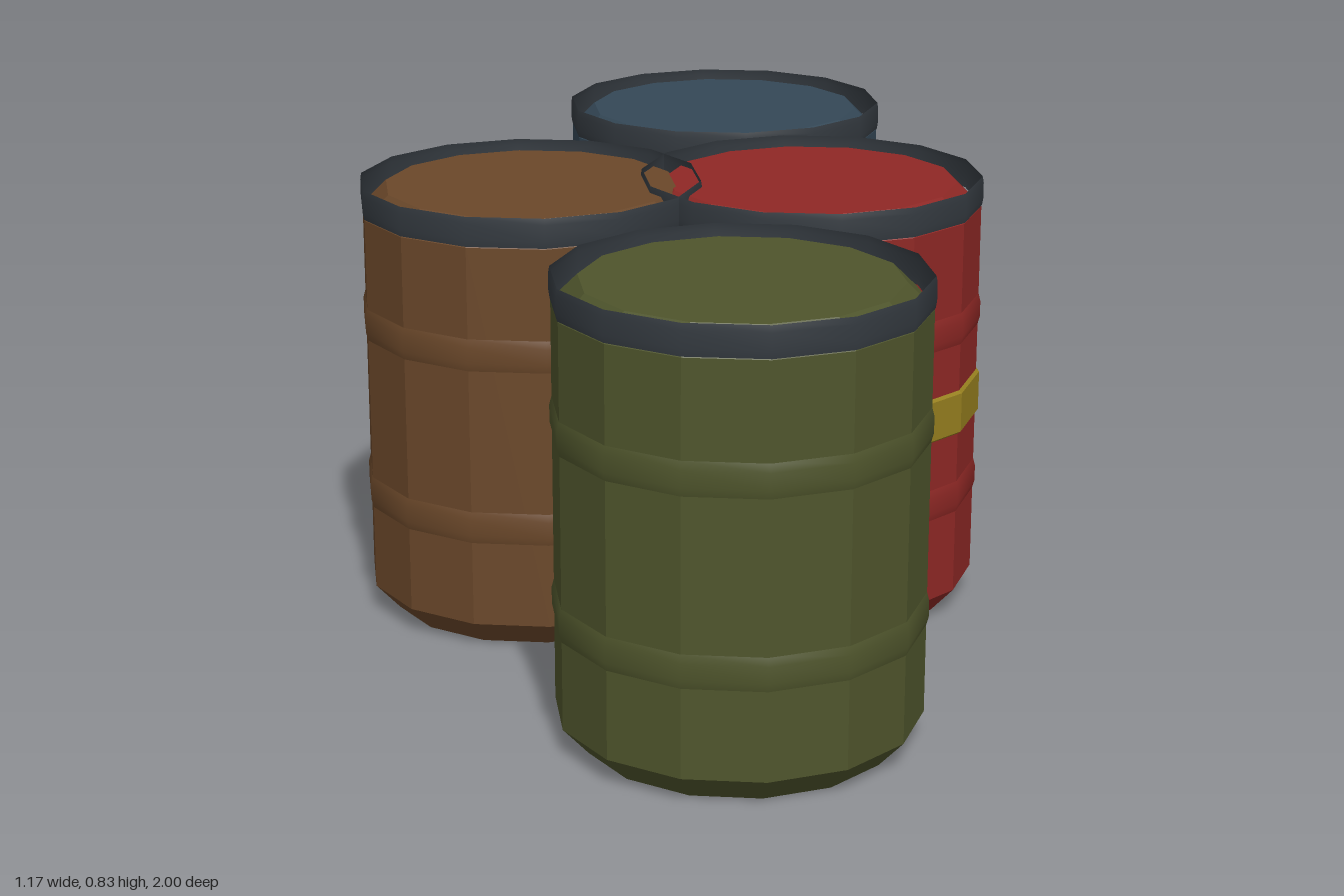
import * as THREE from 'three';

const SIDES = 14;
const R = 0.32;

// Ring of stacked sections [radius, y], 14 sides, corners pointing along x
function lathe(name, profile, color, flat, double) {
  const geo = new THREE.LatheGeometry(profile.map(([r, y]) => new THREE.Vector2(r, y)), SIDES, Math.PI / 2);
  const mat = new THREE.MeshStandardMaterial({ color, flatShading: flat });
  if (double) mat.side = THREE.DoubleSide;
  const mesh = new THREE.Mesh(geo, mat);
  mesh.name = name;
  return mesh;
}

// Slightly raised rounded hoop between two heights
function hoop(name, y0, y1, color, r = R) {
  const h = y1 - y0;
  return lathe(name, [[r, y0], [r + 0.004, y0 + h * 0.25], [r + 0.004, y0 + h * 0.75], [r, y1]], color, false, true);
}

function barrel(name, x, z, color) {
  const g = new THREE.Group();
  g.name = name;
  // body with chamfered top and bottom
  g.add(lathe('body', [[0, 0], [0.274, 0], [R, 0.05], [R, 0.77], [0.274, 0.815], [0, 0.815]], color, true));
  g.add(hoop('lowerHoop', 0.21, 0.27, color));
  g.add(hoop('upperHoop', 0.54, 0.6, color));
  // open dark rim standing around the lid
  g.add(lathe('rim', [[R + 0.001, 0.772], [R + 0.003, 0.785], [R + 0.003, 0.815], [R + 0.001, 0.827]], 0x343a40, false, true));
  g.position.set(x, 0, z);
  return g;
}

export function createModel() {
  const root = new THREE.Group();
  root.name = 'barrels';

  const green = barrel('greenBarrel', 0.176, 0.68, 0x4f552c);
  const brown = barrel('brownBarrel', -0.268, 0.055, 0x6b482a);
  const red = barrel('redBarrel', 0.254, -0.03, 0x8f2825);
  const blue = barrel('blueBarrel', 0.037, -0.67, 0x344857);

  // painted stripe around the red barrel
  const r = R + 0.006;
  red.add(lathe('yellowStripe', [[R, 0.365], [r, 0.37], [r, 0.445], [R, 0.45]], 0x97801f, true, true));

  // loose, slightly shifted hoop at the back of the blue barrel
  const loose = hoop('looseHoop', 0.545, 0.59, 0x344857, 0.324);
  loose.position.z = -0.01;
  blue.add(loose);

  root.add(green, brown, red, blue);
  return root;
}
